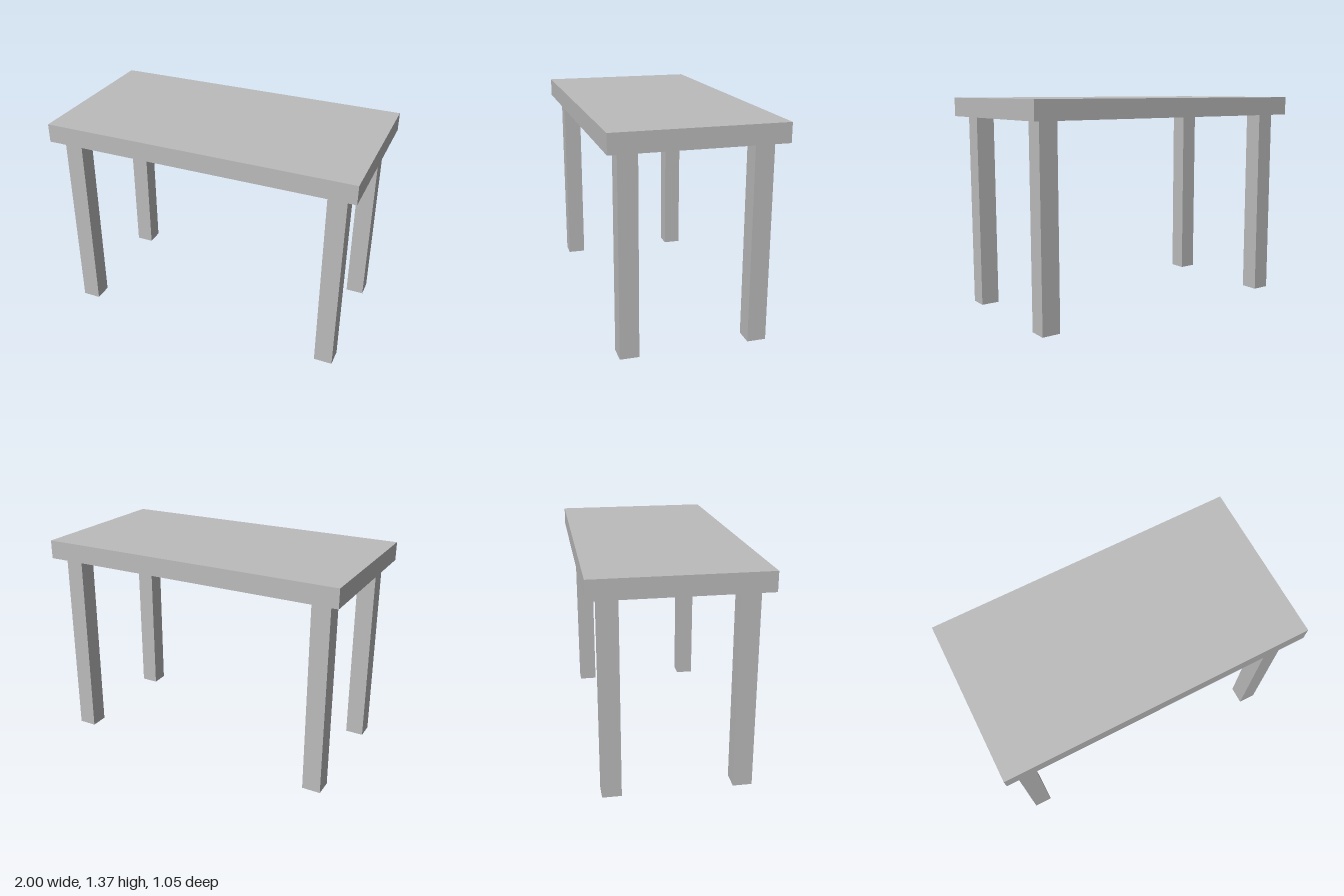
import * as THREE from 'three';

export function createModel() {
  const group = new THREE.Group();
  group.name = 'table';

  const grey = new THREE.MeshStandardMaterial({ color: 0xbbbbbb });
  grey.name = 'grey';

  const height = 1.365, topThickness = 0.12, legWidth = 0.118;
  const legHeight = height - topThickness;

  // Tabletop slab
  const top = new THREE.Mesh(new THREE.BoxGeometry(2, topThickness, 1.053), grey);
  top.name = 'tabletop';
  top.position.y = height - topThickness / 2;
  group.add(top);

  // Four square legs, inset from the corners
  const legGeometry = new THREE.BoxGeometry(legWidth, legHeight, legWidth);
  for (const [endName, sz] of [['front', 1], ['back', -1]]) {
    for (const [sideName, sx] of [['Left', 1], ['Right', -1]]) {
      const leg = new THREE.Mesh(legGeometry, grey);
      leg.name = `${endName}${sideName}Leg`;
      leg.position.set(sx * 0.874, legHeight / 2, sz * 0.4);
      group.add(leg);
    }
  }

  return group;
}
